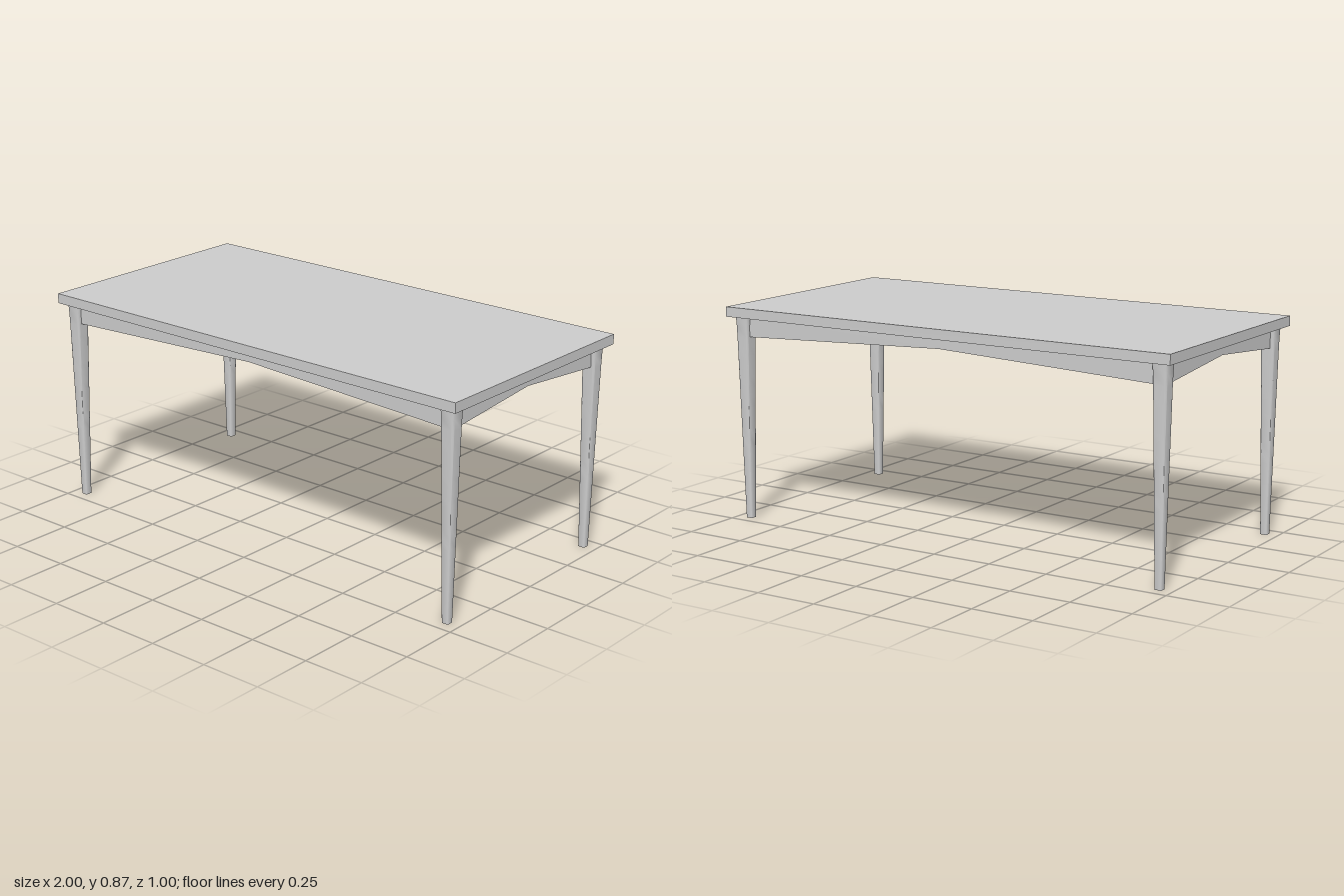
import * as THREE from 'three';
import { toCreasedNormals } from 'three/addons/utils/BufferGeometryUtils.js';

const LEG_X = 0.944, LEG_Z = 0.444, LEG_H = 0.835;

// Square with softened corners, half width 1
function roundedSquare(r) {
  const s = new THREE.Shape(), c = 1 - r;
  s.absarc(c, c, r, 0, Math.PI / 2);
  s.absarc(-c, c, r, Math.PI / 2, Math.PI);
  s.absarc(-c, -c, r, Math.PI, Math.PI * 1.5);
  s.absarc(c, -c, r, Math.PI * 1.5, Math.PI * 2);
  return s;
}

// Leg: straight taper to the foot with a slight flare under the top
function legGeometry() {
  const g = new THREE.ExtrudeGeometry(roundedSquare(0.3), {
    depth: LEG_H, steps: 20, bevelEnabled: false, curveSegments: 4,
  });
  g.rotateX(-Math.PI / 2);
  const p = g.attributes.position;
  for (let i = 0; i < p.count; i++) {
    const y = p.getY(i);
    const half = 0.0145 + 0.0148 * (y / LEG_H) + 0.0018 * Math.max(0, (y - 0.78) / 0.055);
    p.setXYZ(i, p.getX(i) * half, y, p.getZ(i) * half);
  }
  return toCreasedNormals(g, 0.7);
}

// Apron: board whose lower edge rises to a shallow peak in the middle
function apronGeometry(half) {
  const s = new THREE.Shape();
  s.moveTo(-half, 0.751);
  s.lineTo(0, 0.79);
  s.lineTo(half, 0.751);
  s.lineTo(half, 0.835);
  s.lineTo(-half, 0.835);
  s.closePath();
  const thickness = 0.026;
  const g = new THREE.ExtrudeGeometry(s, { depth: thickness, bevelEnabled: false });
  return g.translate(0, 0, -thickness / 2);
}

export function createModel() {
  const table = new THREE.Group();
  table.name = 'table';
  const material = new THREE.MeshStandardMaterial({ color: 0xcccccc });

  function add(name, geometry, x, y, z, turn = 0) {
    const mesh = new THREE.Mesh(geometry, material);
    mesh.name = name;
    mesh.position.set(x, y, z);
    mesh.rotation.y = turn;
    table.add(mesh);
  }

  add('tableTop', new THREE.BoxGeometry(2, 0.04, 1), 0, 0.853, 0);

  const leg = legGeometry();
  const longApron = apronGeometry(LEG_X - 0.015);
  const shortApron = apronGeometry(LEG_Z - 0.015);

  for (const s of [1, -1]) {
    add(s > 0 ? 'frontApron' : 'backApron', longApron, 0, 0, s * LEG_Z);
    add(s > 0 ? 'leftApron' : 'rightApron', shortApron, s * LEG_X, 0, 0, Math.PI / 2);
    for (const t of [1, -1]) {
      add((s > 0 ? 'front' : 'back') + (t > 0 ? 'Left' : 'Right') + 'Leg', leg, t * LEG_X, 0, s * LEG_Z);
    }
  }
  return table;
}
